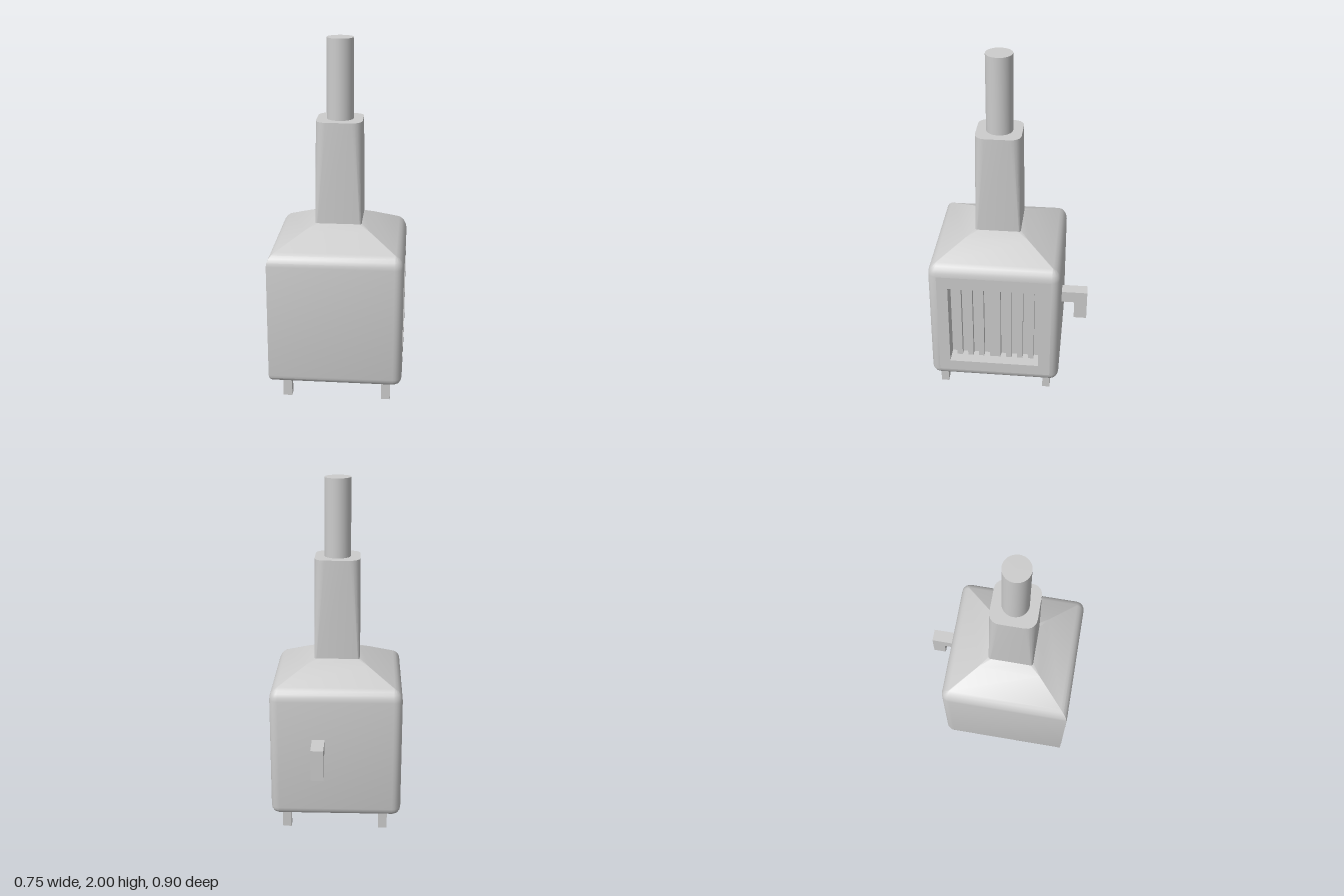
import * as THREE from 'three';
import { toCreasedNormals } from 'three/addons/utils/BufferGeometryUtils.js';

const SEG = 5; // segments per rounded corner
const N = 4 * (SEG + 1);

// Rounded square outline; radii are per corner, from +x+z round through -x+z
function outline({ y, h, r }) {
  const pts = [];
  for (let k = 0; k < 4; k++) {
    const sx = k === 0 || k === 3 ? 1 : -1;
    const sz = k < 2 ? 1 : -1;
    for (let s = 0; s <= SEG; s++) {
      const a = (k + s / SEG) * Math.PI / 2;
      pts.push([
        sx * (h - r[k]) + r[k] * Math.cos(a), y,
        sz * (h - r[k]) + r[k] * Math.sin(a),
      ]);
    }
  }
  return pts;
}

// Skin between outlines, capped at both ends; openBand leaves its +x flat open
function loft(sections, openBand = -1) {
  const rings = sections.map(outline);
  const pos = [];
  const tri = (...p) => p.forEach((v) => pos.push(...v));
  for (let i = 0; i < rings.length - 1; i++) {
    for (let j = 0; j < N; j++) {
      if (i === openBand && j === N - 1) continue;
      const k = (j + 1) % N;
      const a = rings[i][j], b = rings[i][k], c = rings[i + 1][k], d = rings[i + 1][j];
      tri(a, d, b);
      tri(b, d, c);
    }
  }
  const low = rings[0], top = rings[rings.length - 1];
  for (let j = 0; j < N; j++) {
    const k = (j + 1) % N;
    tri([0, low[0][1], 0], low[j], low[k]);
    tri([0, top[0][1], 0], top[k], top[j]);
  }
  const geo = new THREE.BufferGeometry();
  geo.setAttribute('position', new THREE.Float32BufferAttribute(pos, 3));
  return toCreasedNormals(geo, 0.45);
}

export function createModel() {
  const model = new THREE.Group();
  model.name = 'stove';
  const grey = new THREE.MeshStandardMaterial({ color: 0xcccccc });
  grey.name = 'light grey';

  const add = (name, geo, x = 0, y = 0, z = 0) => {
    const mesh = new THREE.Mesh(geo, grey);
    mesh.name = name;
    mesh.position.set(x, y, z);
    model.add(mesh);
    return mesh;
  };
  const box = (name, x0, x1, y0, y1, z0, z1) =>
    add(name, new THREE.BoxGeometry(x1 - x0, y1 - y0, z1 - z0),
      (x0 + x1) / 2, (y0 + y1) / 2, (z0 + z1) / 2);

  const CZ = 0.075; // centre of the body and flue
  const H = 0.375, R = 0.05;
  const yLow = 0.145, yHigh = 0.805;

  // Body: bevelled base, straight walls, rounded shoulder, hipped roof
  const section = (y, inset) => {
    const r = Math.max(R - inset, 0.0005);
    return { y, h: H - inset, r: [r, 0.0005, r, r] };
  };
  const sections = [];
  for (let i = 0; i <= 4; i++) {
    const a = i / 4 * Math.PI / 2;
    sections.push(section(yLow - 0.045 * Math.cos(a), 0.045 * (1 - Math.sin(a))));
  }
  const openBand = sections.length - 1;
  for (let i = 0; i <= 4; i++) {
    const a = i / 4 * 1.107;
    sections.push(section(yHigh + 0.08 * Math.sin(a), 0.08 * (1 - Math.cos(a))));
  }
  sections.push(section(0.955, H - 0.18));
  sections.push({ y: 0.98, h: 0.13, r: [0.018, 0.018, 0.018, 0.018] });
  add('body', loft(sections, openBand), 0, 0, CZ);

  // Side wall with the grille opening
  const z0 = -0.183, z1 = 0.337, y0 = 0.21, y1 = 0.73;
  const rect = (path, a, b, c, d) =>
    path.moveTo(a, c).lineTo(b, c).lineTo(b, d).lineTo(a, d).closePath();
  const wall = rect(new THREE.Shape(), -(CZ + H - R), H - R - CZ, yLow, yHigh);
  wall.holes.push(rect(new THREE.Path(), -z1, -z0, y0, y1));
  add('grilleWall', new THREE.ShapeGeometry(wall), H, 0, 0).rotation.y = Math.PI / 2;

  // Recess: an inward-facing box without its outer side
  const depth = 0.1;
  const recess = new THREE.BoxGeometry(depth, y1 - y0, z1 - z0);
  recess.setIndex(Array.from(recess.index.array).slice(6).reverse());
  recess.clearGroups();
  recess.computeVertexNormals();
  add('grilleRecess', recess, H - depth / 2, (y0 + y1) / 2, (z0 + z1) / 2);

  // Grille bars, the middle one double width
  const unit = (z1 - z0) / 16;
  [[1, 2], [3, 4], [5, 6], [7, 9], [10, 11], [12, 13], [14, 15]].forEach(([a, b]) =>
    box('grilleBar', H - depth, H - 0.065, y0, y1, z0 + a * unit, z0 + b * unit));

  // Tapered flue collar and round pipe
  const same = (r) => [r, r, r, r];
  add('flueCollar', loft([
    { y: 0.97, h: 0.13, r: same(0.012) },
    { y: 1.555, h: 0.128, r: same(0.058) },
  ]), 0, 0, CZ);
  add('fluePipe', new THREE.CylinderGeometry(0.075, 0.075, 0.455, 32), 0, 1.7725, CZ);

  // Feet
  for (const x of [-0.273, 0.286])
    for (const z of [-0.228, 0.385])
      box('foot', x - 0.025, x + 0.025, 0, 0.12, z - 0.022, z + 0.022);

  // Hooked handle on the back
  const hook = new THREE.Shape();
  [[0.29, 0.58], [0.45, 0.58], [0.45, 0.4], [0.375, 0.4], [0.375, 0.51], [0.29, 0.51]]
    .forEach(([u, v], i) => (i ? hook.lineTo(u, v) : hook.moveTo(u, v)));
  const handle = new THREE.ExtrudeGeometry(hook, { depth: 0.072, bevelEnabled: false });
  add('handle', handle, 0.134, 0, 0).rotation.y = Math.PI / 2;
  model.getObjectByName('handle').position.x = 0.062;

  return model;
}
